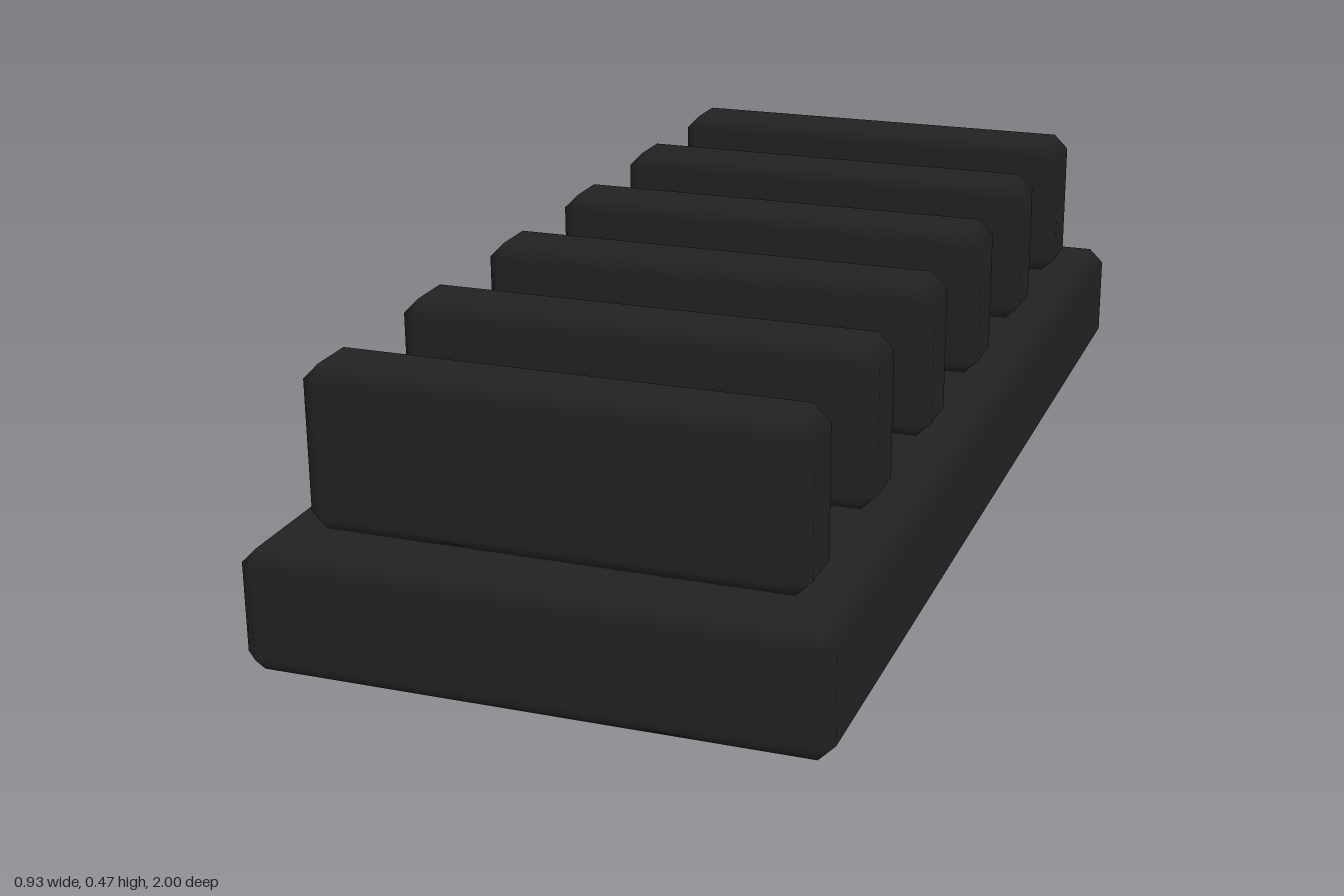
import * as THREE from 'three';
import { ConvexGeometry } from 'three/addons/geometries/ConvexGeometry.js';

// Box with chamfered edges; face-aligned normals blend smoothly across the chamfers.
function chamferedBox(width, height, depth, chamfer) {
  const half = [width / 2, height / 2, depth / 2];
  const points = [];
  for (const sx of [-1, 1]) for (const sy of [-1, 1]) for (const sz of [-1, 1]) {
    const sign = [sx, sy, sz];
    for (let axis = 0; axis < 3; axis++) {
      const p = half.map((h, i) => sign[i] * (i === axis ? h : h - chamfer));
      points.push(new THREE.Vector3(...p));
    }
  }
  const geometry = new ConvexGeometry(points);
  const pos = geometry.attributes.position;
  const normal = geometry.attributes.normal;
  for (let v = 0; v < pos.count; v++) {
    const p = [pos.getX(v), pos.getY(v), pos.getZ(v)];
    const n = p.map((c, i) => (Math.abs(c) > half[i] - chamfer / 2 ? Math.sign(c) : 0));
    normal.setXYZ(v, ...n);
  }
  return geometry;
}

export function createModel() {
  const model = new THREE.Group();
  model.name = 'ribbedPlate';
  const black = new THREE.MeshStandardMaterial({ color: 0x222222 });
  black.name = 'matteBlack';

  const chamfer = 0.0267;

  // Base slab
  const base = new THREE.Mesh(chamferedBox(0.9333, 0.2, 2, chamfer), black);
  base.name = 'base';
  base.position.y = 0.1;
  model.add(base);

  // Six evenly spaced cross ribs
  const ribGeometry = chamferedBox(0.8, 0.2667, 0.1333, chamfer);
  for (let i = 0; i < 6; i++) {
    const rib = new THREE.Mesh(ribGeometry, black);
    rib.name = `rib${i + 1}`;
    rib.position.set(0, 0.3333, (i - 2.5) / 3);
    model.add(rib);
  }

  return model;
}
